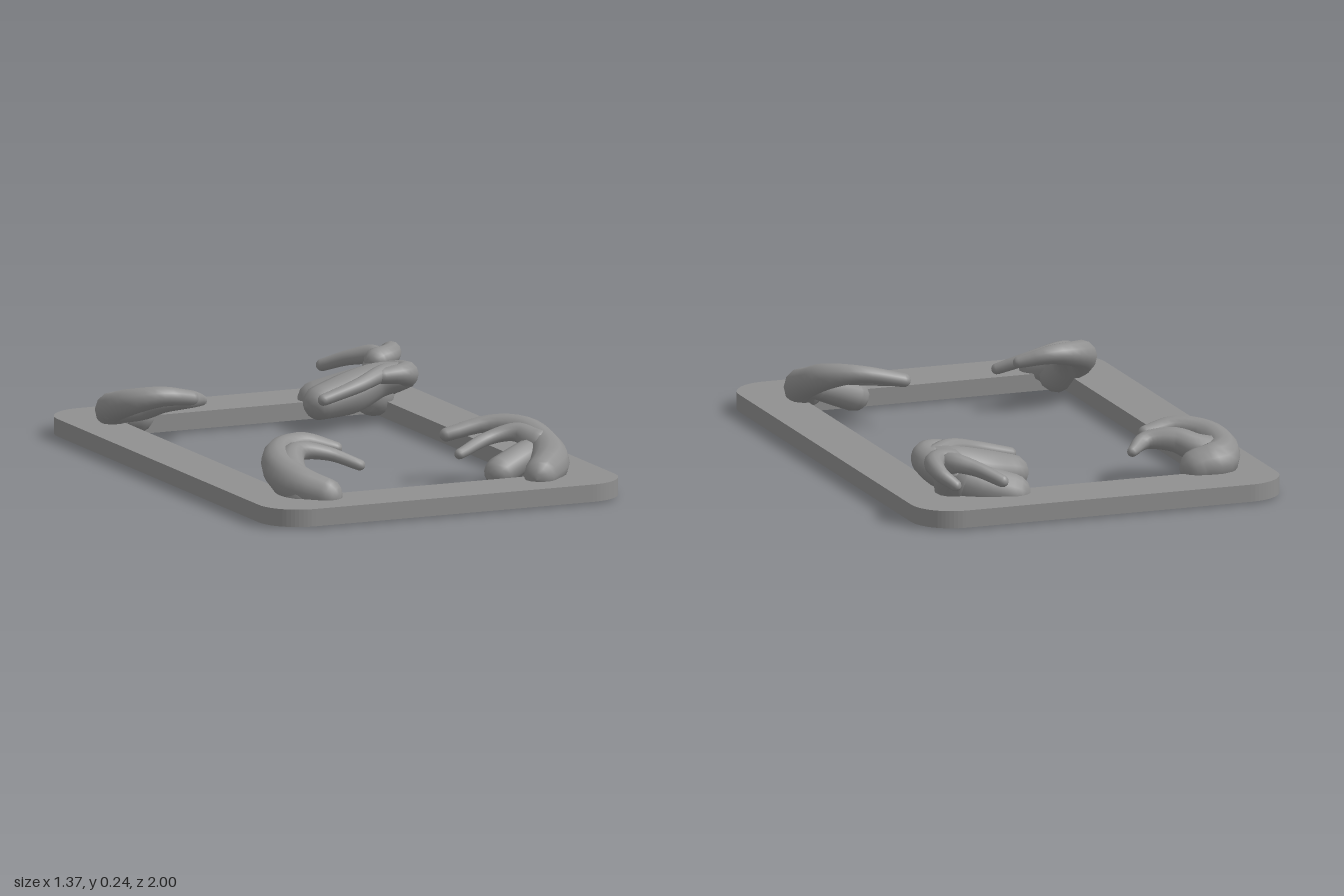
import * as THREE from 'three';

const material = new THREE.MeshStandardMaterial({ color: 0x909090 });

function roundedRect(target, w, h, r) {
  target.moveTo(w - r, -h);
  target.absarc(w - r, h - r, r, 0, Math.PI / 2);
  target.absarc(r - w, h - r, r, Math.PI / 2, Math.PI);
  target.absarc(r - w, r - h, r, Math.PI, Math.PI * 1.5);
  target.absarc(w - r, r - h, r, Math.PI * 1.5, Math.PI * 2);
  return target;
}

// Tapered, round-ended tube through points [x, y, z, radius]
function taperedTube(points, sides = 12, steps = 20) {
  const path = new THREE.CatmullRomCurve3(points.map(p => new THREE.Vector3(p[0], p[1], p[2])));
  const radii = new THREE.CatmullRomCurve3(points.map((p, i) => new THREE.Vector3(p[3], i, 0)));
  const rings = [];
  const addRing = (t, angle) => {
    const tangent = path.getTangent(t), r = radii.getPoint(t).x;
    rings.push({
      centre: path.getPoint(t).addScaledVector(tangent, r * Math.sin(angle)),
      tangent,
      r: Math.max(r * Math.cos(angle), 0.0005),
    });
  };
  for (let i = 0; i < 4; i++) addRing(0, (i / 4 - 1) * Math.PI / 2);
  for (let i = 0; i <= steps; i++) addRing(i / steps, 0);
  for (let i = 1; i <= 4; i++) addRing(1, (i / 4) * Math.PI / 2);

  const pos = [], index = [], up = new THREE.Vector3(0, 1, 0);
  rings.forEach(({ centre, tangent, r }, i) => {
    const side = tangent.clone().cross(up).normalize();
    const top = side.clone().cross(tangent);
    for (let j = 0; j < sides; j++) {
      const a = (j / sides) * Math.PI * 2;
      const p = centre.clone().addScaledVector(side, r * Math.cos(a)).addScaledVector(top, r * Math.sin(a));
      pos.push(p.x, p.y, p.z);
      if (i === rings.length - 1) continue;
      const k = (j + 1) % sides, m = i * sides, n = m + sides;
      index.push(m + j, n + j, m + k, n + j, n + k, m + k);
    }
  });
  const geo = new THREE.BufferGeometry();
  geo.setAttribute('position', new THREE.Float32BufferAttribute(pos, 3));
  geo.setIndex(index);
  geo.computeVertexNormals();
  return geo;
}

// Curled tendrils gripping each corner of the frame
const clusters = {
  frontRightTendrils: [
    [[-0.415, 0.08, 0.825, 0.06], [-0.485, 0.105, 0.74, 0.07], [-0.51, 0.15, 0.64, 0.06],
      [-0.46, 0.19, 0.54, 0.047], [-0.35, 0.205, 0.5, 0.034], [-0.24, 0.18, 0.53, 0.021]],
    [[-0.47, 0.07, 0.76, 0.07], [-0.48, 0.135, 0.67, 0.06], [-0.42, 0.19, 0.59, 0.038],
      [-0.3, 0.175, 0.59, 0.025], [-0.2, 0.135, 0.64, 0.02]],
  ],
  frontLeftTendrils: [
    [[0.41, 0.085, 0.83, 0.06], [0.485, 0.105, 0.74, 0.07], [0.51, 0.15, 0.63, 0.055],
      [0.475, 0.19, 0.54, 0.047], [0.375, 0.205, 0.47, 0.032], [0.22, 0.175, 0.45, 0.025]],
    [[0.49, 0.155, 0.63, 0.05], [0.44, 0.185, 0.56, 0.035], [0.34, 0.17, 0.545, 0.025],
      [0.2, 0.135, 0.605, 0.019]],
    [[0.48, 0.135, 0.62, 0.045], [0.41, 0.11, 0.65, 0.052], [0.32, 0.075, 0.68, 0.055]],
  ],
  backRightTendrils: [
    [[-0.43, 0.085, -0.75, 0.068], [-0.5, 0.1, -0.75, 0.072], [-0.545, 0.13, -0.68, 0.055],
      [-0.515, 0.165, -0.59, 0.046], [-0.42, 0.185, -0.535, 0.036], [-0.31, 0.17, -0.54, 0.026]],
    [[-0.55, 0.12, -0.68, 0.045], [-0.46, 0.13, -0.655, 0.05], [-0.39, 0.155, -0.61, 0.045],
      [-0.29, 0.155, -0.59, 0.032], [-0.22, 0.135, -0.65, 0.019]],
  ],
  backLeftTendrils: [
    // thick arm curling round the outside of the corner
    [[0.29, 0.07, -0.805, 0.067], [0.42, 0.105, -0.76, 0.072], [0.52, 0.145, -0.7, 0.06],
      [0.545, 0.17, -0.62, 0.05], [0.51, 0.185, -0.565, 0.038], [0.43, 0.185, -0.555, 0.028]],
    [[0.225, 0.095, -0.625, 0.063], [0.34, 0.115, -0.645, 0.075], [0.45, 0.15, -0.65, 0.065],
      [0.53, 0.165, -0.62, 0.05]],
    // slender arched arm
    [[0.52, 0.175, -0.63, 0.04], [0.44, 0.19, -0.575, 0.032], [0.32, 0.165, -0.52, 0.026],
      [0.18, 0.13, -0.5, 0.021]],
    [[0.47, 0.085, -0.72, 0.075], [0.51, 0.15, -0.78, 0.06], [0.525, 0.2, -0.83, 0.04],
      [0.46, 0.19, -0.89, 0.028], [0.385, 0.155, -0.965, 0.022]],
    [[0.51, 0.195, -0.78, 0.045], [0.565, 0.205, -0.8, 0.04], [0.6, 0.207, -0.86, 0.034],
      [0.595, 0.185, -0.92, 0.027], [0.56, 0.155, -0.965, 0.021]],
  ],
};

export function createModel() {
  const model = new THREE.Group();

  // Flat rectangular frame with rounded corners
  const outline = roundedRect(new THREE.Shape(), 0.683, 1, 0.15);
  outline.holes.push(roundedRect(new THREE.Path(), 0.495, 0.77, 0.04));
  const frameGeo = new THREE.ExtrudeGeometry(outline, { depth: 0.062, bevelEnabled: false, curveSegments: 8 });
  frameGeo.rotateX(-Math.PI / 2).translate(0, 0.008, 0);
  const frame = new THREE.Mesh(frameGeo, material);
  frame.name = 'frame';
  model.add(frame);

  for (const [name, tendrils] of Object.entries(clusters)) {
    const cluster = new THREE.Group();
    cluster.name = name;
    tendrils.forEach((points, i) => {
      const mesh = new THREE.Mesh(taperedTube(points), material);
      mesh.name = `tendril${i + 1}`;
      cluster.add(mesh);
    });
    model.add(cluster);
  }
  return model;
}
